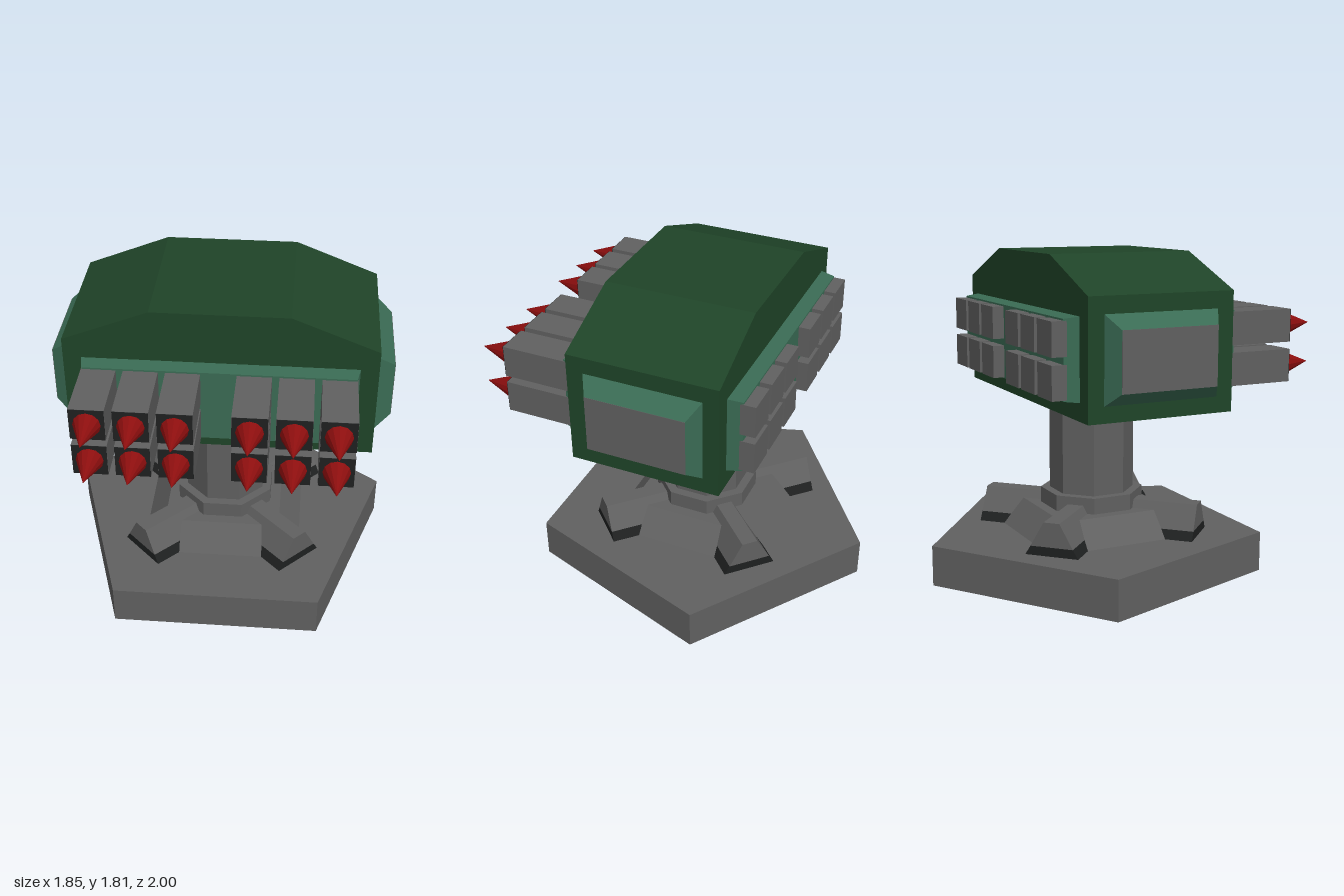
import * as THREE from 'three';

const mat = (color) => new THREE.MeshStandardMaterial({ color, flatShading: true });
const ZC = -0.035; // depth centre of pedestal and head

export function createModel() {
  const root = new THREE.Group();
  const grey = mat(0x606060), dark = mat(0x1e2020), green = mat(0x1f4428);
  const teal = mat(0x3a6b54), red = mat(0x8c0e0e);

  const add = (name, geometry, material, parent = root) => {
    const mesh = new THREE.Mesh(geometry, material);
    mesh.name = name;
    parent.add(mesh);
    return mesh;
  };

  // Upright regular prism or frustum with a flat side facing front
  const prism = (name, sides, aTop, aBottom, y0, y1) => {
    const k = 1 / Math.cos(Math.PI / sides);
    const g = new THREE.CylinderGeometry(aTop * k, aBottom * k, y1 - y0, sides);
    g.rotateY(Math.PI / sides);
    g.translate(0, (y0 + y1) / 2, ZC);
    return add(name, g, grey);
  };

  // Polygon in x/y extruded from z0 to z1
  const extrude = (points, z0, z1) => {
    const shape = new THREE.Shape(points.map(([x, y]) => new THREE.Vector2(x, y)));
    const g = new THREE.ExtrudeGeometry(shape, { depth: z1 - z0, bevelEnabled: false });
    return g.translate(0, 0, z0);
  };

  // Box whose +z end is scaled about its own centre
  const taperedBox = (w, h, d, sx, sy) => {
    const g = new THREE.BoxGeometry(w, h, d);
    const p = g.attributes.position;
    for (let i = 0; i < p.count; i++) {
      if (p.getZ(i) > 0) p.setXY(i, p.getX(i) * sx, p.getY(i) * sy);
    }
    g.computeVertexNormals();
    return g;
  };

  // Pentagonal base slab, one corner to the back
  const slab = new THREE.CylinderGeometry(0.97, 0.97, 0.225, 5);
  slab.rotateY(Math.PI).translate(0, 0.1125, -0.03);
  add('base', slab, grey);

  // Pedestal
  prism('footBlock', 4, 0.33, 0.45, 0.225, 0.365);
  prism('collar', 8, 0.27, 0.27, 0.36, 0.455);
  prism('column', 8, 0.222, 0.222, 0.45, 1.01);

  // Four diagonal feet with a dark lower band
  const footTop = extrude([[-0.12, 0.275], [0.12, 0.275], [0.045, 0.41], [-0.045, 0.41]], 0, 0.64);
  const footBand = extrude([[-0.15, 0.225], [0.15, 0.225], [0.12, 0.275], [-0.12, 0.275]], 0, 0.64);
  for (let i = 0; i < 4; i++) {
    const foot = new THREE.Group();
    foot.name = 'foot';
    foot.position.z = ZC;
    foot.rotation.y = Math.PI / 4 + (i * Math.PI) / 2;
    add('footTop', footTop, grey, foot);
    add('footBand', footBand, dark, foot);
    root.add(foot);
  }

  // Armoured head
  add('head', extrude([
    [-0.815, 1], [0.815, 1], [0.815, 1.63], [0.36, 1.81], [-0.36, 1.81], [-0.815, 1.63],
  ], -0.445, 0.38), green);

  // Raised panels on the front and back
  for (const s of [1, -1]) {
    const panel = add(s > 0 ? 'frontPanel' : 'backPanel', taperedBox(1.44, 0.43, 0.08, 0.977, 0.955), teal);
    panel.position.set(0, 1.31, s > 0 ? 0.42 : -0.485);
    if (s < 0) panel.rotation.y = Math.PI;
  }

  // Raised side panels with a grey plate
  for (const s of [1, -1]) {
    const side = new THREE.Group();
    side.name = s > 0 ? 'leftPanel' : 'rightPanel';
    side.position.set(s * 0.815, 1.313, ZC);
    side.rotation.y = (s * Math.PI) / 2;
    add('panelFrame', taperedBox(0.645, 0.455, 0.09, 0.84, 0.69), teal, side).position.z = 0.045;
    add('panelPlate', new THREE.BoxGeometry(0.542, 0.314, 0.004), grey, side).position.z = 0.09;
    root.add(side);
  }

  // Launch tubes running through the head, each with a pointed tip
  const tube = new THREE.BoxGeometry(0.18, 0.178, 1.405);
  const muzzle = new THREE.BoxGeometry(0.178, 0.176, 0.006);
  const tip = new THREE.ConeGeometry(0.072, 0.185, 12).rotateX(Math.PI / 2);
  for (const x of [-0.617, -0.4, -0.183, 0.183, 0.4, 0.617]) {
    for (const y of [1.2, 1.417]) {
      const launcher = new THREE.Group();
      launcher.name = 'launcher';
      launcher.position.set(x, y, 0);
      add('tube', tube, grey, launcher).position.z = 0.1125;
      add('muzzle', muzzle, dark, launcher).position.z = 0.815;
      add('tip', tip, red, launcher).position.z = 0.9075;
      root.add(launcher);
    }
  }

  return root;
}
